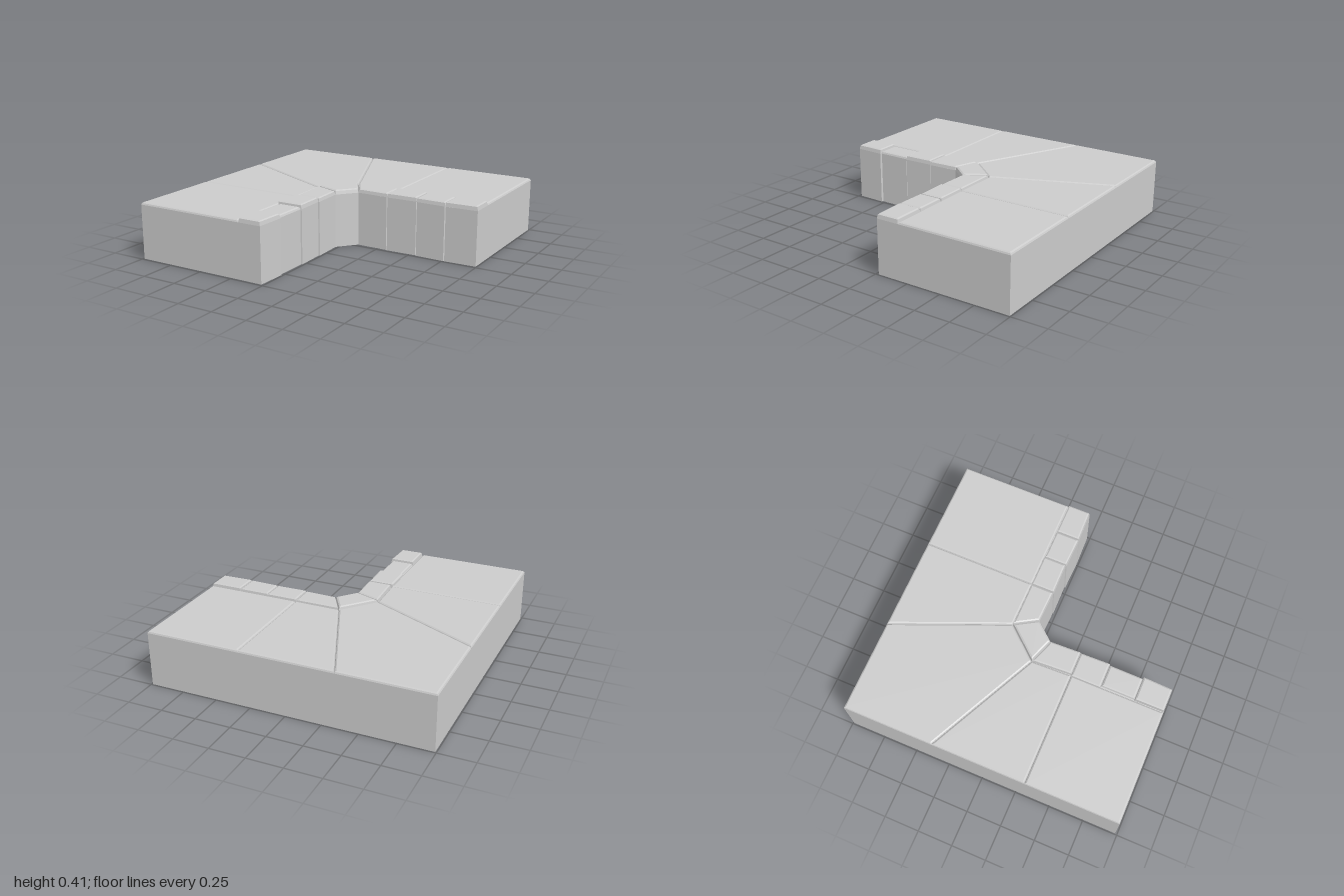
import * as THREE from 'three';

const material = new THREE.MeshStandardMaterial({ color: 0xcccccc, flatShading: true });
const BASE = 0.38; // height of the joints between the stones
const W = 0.992, F = 0.985; // outer limits of the plan

// Moves each edge of a convex [x, z] polygon inwards by d.
function inset(points, d) {
  const n = points.length;
  const normal = (a, b) => {
    const l = Math.hypot(b[0] - a[0], b[1] - a[1]);
    return [-(b[1] - a[1]) / l, (b[0] - a[0]) / l];
  };
  return points.map((p, i) => {
    const a = normal(points[(i + n - 1) % n], p), b = normal(p, points[(i + 1) % n]);
    const k = d / (1 + a[0] * b[0] + a[1] * b[1]);
    return [p[0] + (a[0] + b[0]) * k, p[1] + (a[1] + b[1]) * k];
  });
}

// A stone top with bevelled edges, rising from the joints.
function stone(name, points, top, bevel) {
  const area = points.reduce((s, p, i) => {
    const q = points[(i + 1) % points.length];
    return s + p[0] * q[1] - q[0] * p[1];
  }, 0);
  const outline = area > 0 ? points : [...points].reverse();
  const rim = inset(outline, bevel * 0.35), inner = inset(outline, bevel);
  const rings = [[outline, BASE], [rim, top - 0.006], [inner, top]];
  const v = [];
  const n = outline.length;
  const put = (ring, i) => v.push(ring[0][i % n][0], ring[1], ring[0][i % n][1]);
  for (let r = 0; r < 2; r++) {
    for (let i = 0; i < n; i++) {
      const a = rings[r], b = rings[r + 1];
      put(a, i); put(b, i); put(b, i + 1);
      put(a, i); put(b, i + 1); put(a, i + 1);
    }
  }
  for (let i = 1; i < n - 1; i++) {
    put(rings[2], 0); put(rings[2], i + 1); put(rings[2], i);
  }
  const geometry = new THREE.BufferGeometry();
  geometry.setAttribute('position', new THREE.Float32BufferAttribute(v, 3));
  geometry.computeVertexNormals();
  const mesh = new THREE.Mesh(geometry, material);
  mesh.name = name;
  return mesh;
}

// Upright block from a plan outline.
function prism(name, points, height) {
  const shape = new THREE.Shape(points.map(([x, z]) => new THREE.Vector2(x, -z)));
  const geometry = new THREE.ExtrudeGeometry(shape, { depth: height, bevelEnabled: false });
  geometry.rotateX(-Math.PI / 2);
  const mesh = new THREE.Mesh(geometry, material);
  mesh.name = name;
  return mesh;
}

export function createModel() {
  const model = new THREE.Group();
  model.name = 'cornerPavement';

  // Kerb stones of each arm: start, end, face at start, face at end, back, top
  const rightKerb = [
    [0.09, 0.32, -0.03, -0.024, -0.19, 0.408],
    [0.32, 0.547, -0.02, -0.024, -0.19, 0.411],
    [0.547, 0.763, -0.018, -0.012, -0.184, 0.41],
    [0.763, W, -0.012, -0.02, -0.184, 0.413],
  ];
  const frontKerb = [
    [0.10, 0.32, -0.02, -0.012, -0.185, 0.408],
    [0.32, 0.535, -0.018, -0.012, -0.2, 0.412],
    [0.535, 0.775, -0.018, -0.02, -0.18, 0.398],
    [0.775, F, -0.01, -0.018, -0.185, 0.412],
  ];

  // Face line of an arm, notched at each joint
  const faceLine = (kerb) => kerb.flatMap(([s, e, a, b], i) => {
    const line = [[i ? s + 0.004 : s, a], [i < 3 ? e - 0.004 : e, b]];
    if (i < 3) line.push([e, Math.min(b, kerb[i + 1][2]) - 0.014]);
    return line;
  });
  const rightFace = faceLine(rightKerb);
  const frontFace = faceLine(frontKerb).map(([t, f]) => [f, t]);

  // Solid body below the stone tops
  model.add(prism('body', [
    [-W, -W], [W, -W], ...rightFace.reverse(), ...frontFace, [-W, F],
  ], BASE));

  // Paving slabs fanning round the corner
  const slabs = [
    [[-W, 0.32], [-0.19, 0.32], [-0.19, F], [-W, F]],
    [[-W, -0.35], [-0.2, 0.035], [-0.19, 0.32], [-W, 0.32]],
    [[-W, -W], [-0.34, -W], [-0.005, -0.19], [-0.2, 0.035], [-W, -0.35]],
    [[-0.34, -W], [0.325, -W], [0.325, -0.187], [-0.005, -0.19]],
    [[0.325, -W], [W, -W], [W, -0.187], [0.325, -0.187]],
  ];
  slabs.forEach((points, i) => model.add(stone('pavingSlab' + (i + 1), points, 0.396, 0.013)));

  // Kerb stones; the first of each arm meets the corner stone at an angle
  const innerBack = [-0.005, -0.19], outerBack = [-0.2, 0.035];
  rightKerb.forEach(([s, e, a, b, back, top], i) => {
    const start = i ? [s, back] : innerBack;
    model.add(stone('rightKerb' + (i + 1), [start, [e, back], [e, b], [s, a]], top, 0.014));
  });
  frontKerb.forEach(([s, e, a, b, back, top], i) => {
    const start = i ? [back, s] : outerBack;
    model.add(stone('frontKerb' + (i + 1), [start, [a, s], [b, e], [back, e]], top, 0.014));
  });
  model.add(stone('cornerKerb', [outerBack, innerBack, [0.09, -0.03], [-0.02, 0.1]], 0.41, 0.016));

  return model;
}
